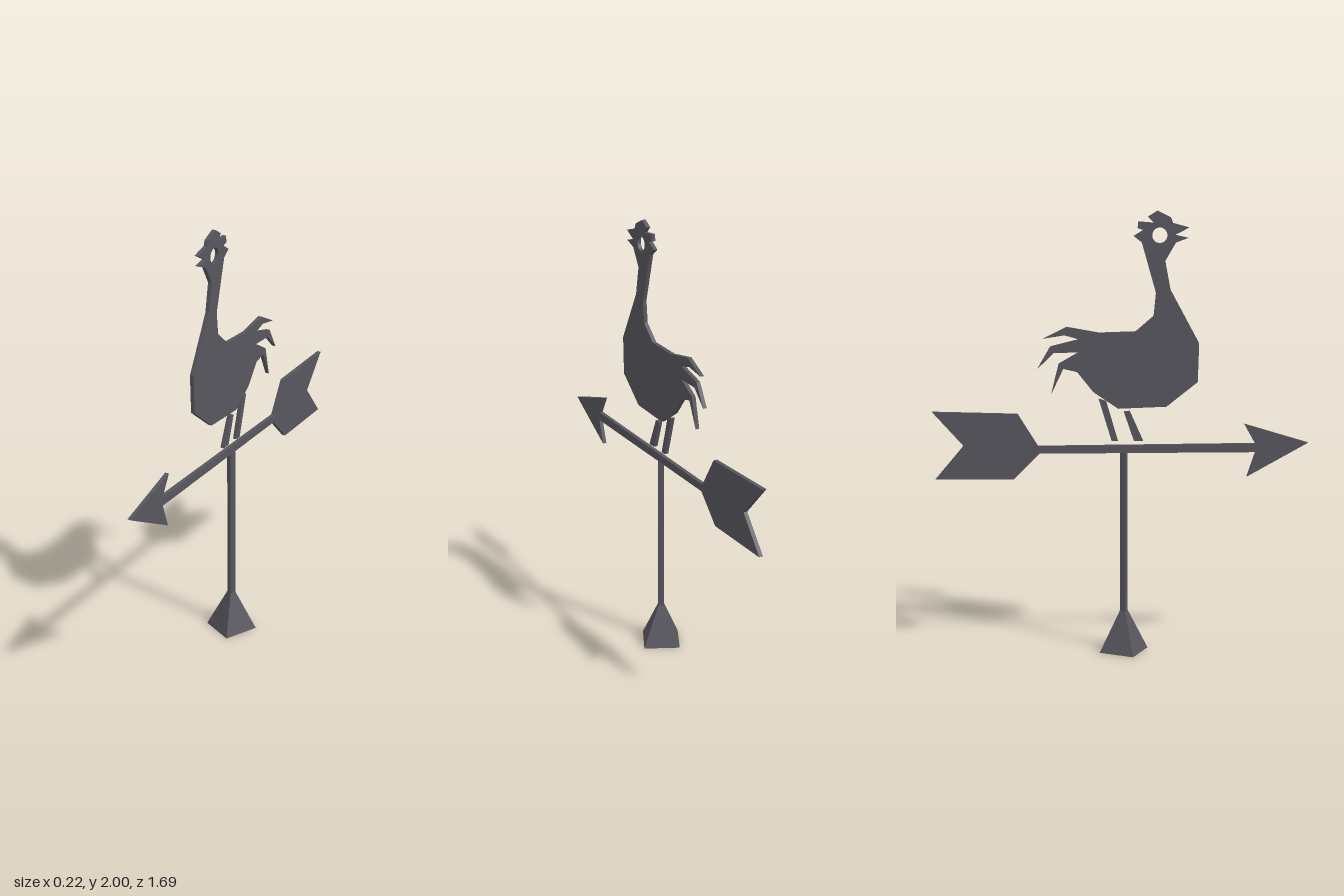
import * as THREE from 'three';

const THICKNESS = 0.018;

// Flat plate cut from an outline of [z, y] points, centred on x = 0
function plate(name, points, material, holes = []) {
  const shape = new THREE.Shape(points.map(([z, y]) => new THREE.Vector2(z, y)));
  shape.holes.push(...holes);
  const geometry = new THREE.ExtrudeGeometry(shape, { depth: THICKNESS, bevelEnabled: false, curveSegments: 16 });
  geometry.translate(0, 0, -THICKNESS / 2).rotateY(-Math.PI / 2);
  const mesh = new THREE.Mesh(geometry, material);
  mesh.name = name;
  return mesh;
}

// Four-sided tapering column, turned slightly about its axis
function column(name, rTop, rBottom, y0, y1, material) {
  const mesh = new THREE.Mesh(new THREE.CylinderGeometry(rTop, rBottom, y1 - y0, 4), material);
  mesh.position.set(-0.003, (y0 + y1) / 2, 0.013);
  mesh.rotation.y = 0.33;
  mesh.name = name;
  return mesh;
}

export function createModel() {
  const model = new THREE.Group();
  model.name = 'weatherVane';
  const iron = new THREE.MeshStandardMaterial({ color: 0x57565e, flatShading: true });
  iron.name = 'dark iron';

  // Stand
  model.add(column('base', 0.019, 0.118, 0, 0.19, iron));
  model.add(column('pole', 0.019, 0.019, 0.19, 0.922, iron));

  // Arrow: head, shaft and notched tail in one outline
  model.add(plate('arrow', [
    [0.846, 0.963], [0.571, 0.81], [0.608, 0.921], [-0.365, 0.92],
    [-0.484, 0.803], [-0.833, 0.806], [-0.706, 0.957], [-0.844, 1.111],
    [-0.463, 1.1], [-0.373, 0.954], [0.606, 0.961], [0.556, 1.05],
  ], iron));

  // Legs
  model.add(plate('frontLeg', [[0.1, 0.976], [0.058, 0.976], [0.013, 1.108], [0.04, 1.111]], iron));
  model.add(plate('backLeg', [[-0.013, 0.975], [-0.042, 0.976], [-0.1, 1.167], [-0.066, 1.156]], iron));

  // Rooster with a round eye hole
  const eye = new THREE.Path();
  eye.absarc(0.172, 1.892, 0.034, 0, Math.PI * 2, true);
  const comb = [[0.22, 1.971], [0.161, 1.999], [0.119, 1.973], [0.146, 1.947], [0.077, 1.953], [0.074, 1.923], [0.098, 1.915], [0.056, 1.889], [0.093, 1.86]];
  const back = [[0.156, 1.638], [0.146, 1.537], [0.066, 1.468], [-0.098, 1.463]];
  const tail = [
    [-0.241, 1.489], [-0.347, 1.437], [-0.251, 1.452], [-0.188, 1.434],
    [-0.315, 1.402], [-0.373, 1.302], [-0.299, 1.373], [-0.188, 1.376],
    [-0.278, 1.325], [-0.312, 1.188], [-0.257, 1.302], [-0.196, 1.288],
  ];
  const belly = [[-0.124, 1.198], [-0.013, 1.122], [0.204, 1.13], [0.344, 1.241], [0.349, 1.415], [0.22, 1.653], [0.196, 1.78]];
  const beak = [[0.243, 1.86], [0.299, 1.881], [0.241, 1.894], [0.302, 1.926], [0.23, 1.946]];
  model.add(plate('rooster', [...comb, ...back, ...tail, ...belly, ...beak], iron, [eye]));

  return model;
}
